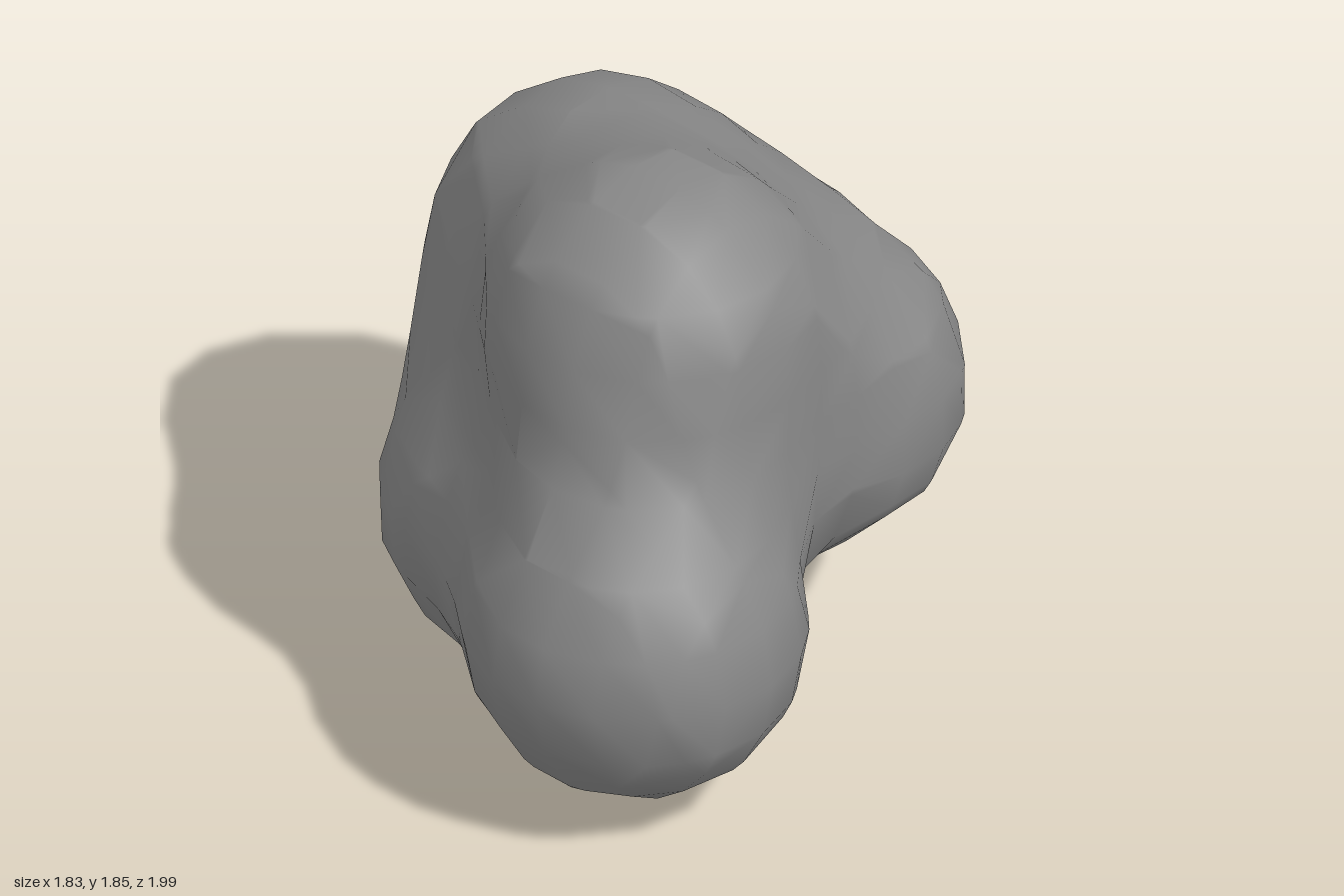
import * as THREE from 'three';

// Centres of the five equal lobes that melt into one blob
const LOBES = [
  [0.18, 1.355, 0.12],    // top
  [0.408, 0.57, 0.488],   // lower front
  [0.184, 0.84, -0.508],  // back
  [-0.42, 1.125, -0.35],  // upper side
  [-0.29, 0.5, 0.035],    // bottom
].map((c) => new THREE.Vector3(...c));
const REACH = 0.93;       // influence radius; a lone lobe shows a radius of 0.505
const THRESHOLD = 0.35;

// The skin is sampled on a coarse grid of cubes
const CELL = 0.178, CELLS = 14;
const ORIGIN = new THREE.Vector3(-1.151, -0.143, -1.126);

// Summed soft falloff of all lobes
function inside(p) {
  let sum = 0;
  for (const c of LOBES) {
    sum += Math.max(0, 1 - p.distanceToSquared(c) / (REACH * REACH)) ** 3;
  }
  return sum > THRESHOLD;
}

const gridPoint = (g) => new THREE.Vector3(...g).multiplyScalar(CELL).add(ORIGIN);

// Where the skin cuts the grid edge from an inner to an outer corner
function cutPoint(inner, outer) {
  const a = gridPoint(inner), b = gridPoint(outer), mid = new THREE.Vector3();
  for (let i = 0; i < 14; i++) {
    mid.lerpVectors(a, b, 0.5);
    (inside(mid) ? a : b).copy(mid);
  }
  return mid;
}

// The six faces of a cube, corners anticlockwise from outside
const FACES = [];
for (let axis = 0; axis < 3; axis++) {
  for (const side of [0, 1]) {
    const ring = [[0, 0], [1, 0], [1, 1], [0, 1]].map(([u, v]) => {
      const corner = [0, 0, 0];
      corner[axis] = side;
      corner[(axis + 1) % 3] = u;
      corner[(axis + 2) % 3] = v;
      return corner;
    });
    FACES.push(side ? ring : ring.reverse());
  }
}

function blobGeometry() {
  const positions = [], indices = [], shared = new Map(), state = new Map();

  const isInside = (g) => {
    const key = g.join();
    if (!state.has(key)) state.set(key, inside(gridPoint(g)));
    return state.get(key);
  };
  const vertex = (inner, outer) => {
    const key = inner.join() + '|' + outer.join();
    if (!shared.has(key)) {
      shared.set(key, positions.length / 3);
      positions.push(...cutPoint(inner, outer).toArray());
    }
    return shared.get(key);
  };

  // Link the cuts across each face of a cube, then fill the closed loops
  function fillCube(cube) {
    const next = new Map();
    for (const face of FACES) {
      const ring = face.map((c) => c.map((v, i) => v + cube[i]));
      const cuts = [];
      ring.forEach((a, i) => {
        const b = ring[(i + 1) % 4];
        if (isInside(a) === isInside(b)) return;
        const leaving = isInside(a);
        cuts.push({ leaving, id: leaving ? vertex(a, b) : vertex(b, a) });
      });
      cuts.forEach((cut, i) => {
        if (cut.leaving) next.set(cuts[(i + 1) % cuts.length].id, cut.id);
      });
    }
    while (next.size) {
      const loop = [];
      let id = next.keys().next().value;
      while (next.has(id)) {
        loop.push(id);
        const following = next.get(id);
        next.delete(id);
        id = following;
      }
      for (let i = 1; i < loop.length - 1; i++) indices.push(loop[0], loop[i], loop[i + 1]);
    }
  }

  for (let x = 0; x < CELLS; x++) {
    for (let y = 0; y < CELLS; y++) {
      for (let z = 0; z < CELLS; z++) fillCube([x, y, z]);
    }
  }

  const geometry = new THREE.BufferGeometry();
  geometry.setAttribute('position', new THREE.Float32BufferAttribute(positions, 3));
  geometry.setIndex(indices);
  geometry.computeVertexNormals();
  return geometry;
}

export function createModel() {
  const group = new THREE.Group();
  group.name = 'blob';
  const body = new THREE.Mesh(blobGeometry(), new THREE.MeshStandardMaterial({ color: 0x888888 }));
  body.name = 'blobBody';
  group.add(body);
  return group;
}
